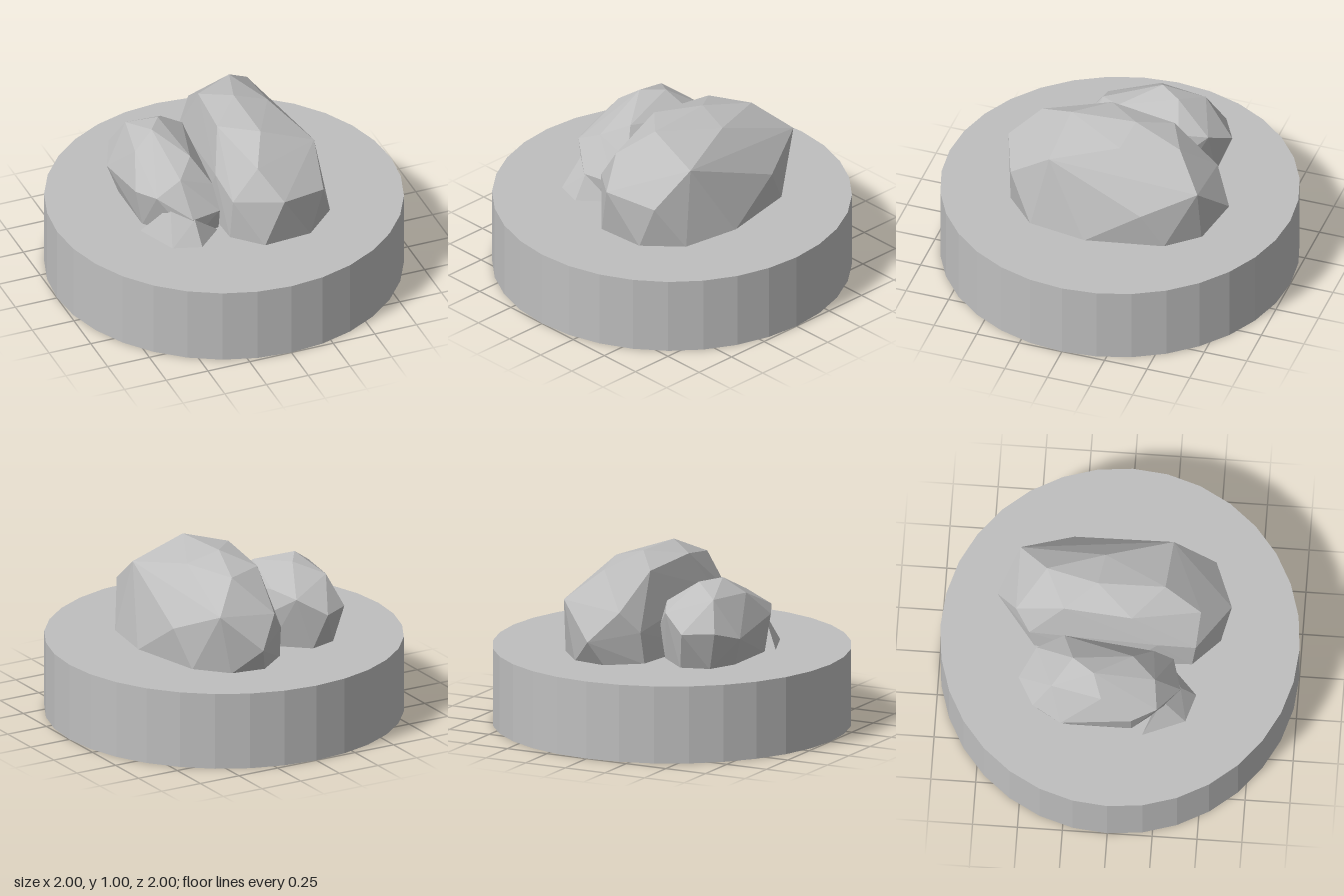
import * as THREE from 'three';
import { ConvexGeometry } from 'three/addons/geometries/ConvexGeometry.js';

const stone = new THREE.MeshStandardMaterial({ color: 0xbfbfbf });
stone.name = 'grey stone';

const TOP = 0.44;          // top of the plinth
const SUNK = TOP - 0.005;  // rock feet sit just inside it

// Faceted boulder wrapped around a few corner points
function rock(name, corners) {
  const points = corners.map(([x, y, z]) => new THREE.Vector3(x, y, z));
  const mesh = new THREE.Mesh(new ConvexGeometry(points), stone);
  mesh.name = name;
  return mesh;
}

export function createModel() {
  const model = new THREE.Group();
  model.name = 'rocksOnPlinth';

  // Round plinth with 32 flat sides
  const disc = new THREE.CylinderGeometry(1, 1, TOP, 32).toNonIndexed();
  disc.computeVertexNormals();
  const plinth = new THREE.Mesh(disc, stone);
  plinth.name = 'plinth';
  plinth.position.y = TOP / 2;
  model.add(plinth);

  model.add(rock('largeRock', [
    // crown
    [-0.07, 0.955, 0.07], [0.12, 0.98, 0.245], [0.11, 0.995, -0.13], [0.3, 0.94, -0.1],
    [0.2, 0.935, -0.42], [-0.03, 0.93, -0.31], [0.02, 0.88, 0.45], [0.43, 0.865, 0.27],
    // flanks
    [0.115, 0.735, 0.615], [0.39, 0.69, 0.51], [0.43, 0.77, -0.07], [0.5, 0.65, -0.29],
    [0.37, 0.78, -0.58], [0.16, 0.58, -0.695], [0.02, 0.74, -0.58], [-0.07, 0.62, -0.5],
    [-0.14, 0.74, 0.22], [-0.12, 0.68, 0.43],
    // foot
    [0.54, SUNK, 0.03], [0.49, SUNK, 0.36], [0.45, SUNK, -0.41], [0.3, SUNK, -0.58],
    [0.1, SUNK, -0.61], [-0.08, SUNK, -0.47], [-0.145, SUNK, 0.05], [-0.13, SUNK, 0.41],
    [0.02, SUNK, 0.56], [0.3, SUNK, 0.54],
  ]));

  const smallRock = new THREE.Group();
  smallRock.name = 'smallRock';
  smallRock.add(rock('smallRockBody', [
    // crown
    [-0.385, 0.895, -0.12], [-0.3, 0.885, -0.24], [-0.45, 0.82, -0.35], [-0.505, 0.81, -0.07],
    [-0.35, 0.755, 0.22], [-0.24, 0.81, 0.09], [-0.13, 0.77, -0.3], [-0.2, 0.74, -0.45],
    // flanks
    [-0.35, 0.65, -0.54], [-0.51, 0.65, -0.45], [-0.585, 0.6, -0.29], [-0.57, 0.66, 0.1],
    [-0.5, 0.68, 0.24], [-0.33, 0.57, 0.36], [-0.15, 0.56, 0.31], [-0.15, 0.67, 0.2],
    [-0.08, 0.62, -0.29],
    // foot
    [-0.53, SUNK, 0.1], [-0.53, SUNK, -0.25], [-0.46, SUNK, -0.41], [-0.3, SUNK, -0.46],
    [-0.12, SUNK, -0.3], [-0.15, SUNK, 0.29], [-0.33, SUNK, 0.35],
  ]));
  // Toe flaring out at the front
  smallRock.add(rock('smallRockToe', [
    [-0.57, SUNK, 0.16], [-0.47, SUNK, 0.4], [-0.31, SUNK, 0.45], [-0.16, SUNK, 0.31],
    [-0.43, 0.63, 0.27], [-0.32, 0.57, 0.36],
  ]));
  model.add(smallRock);

  return model;
}
